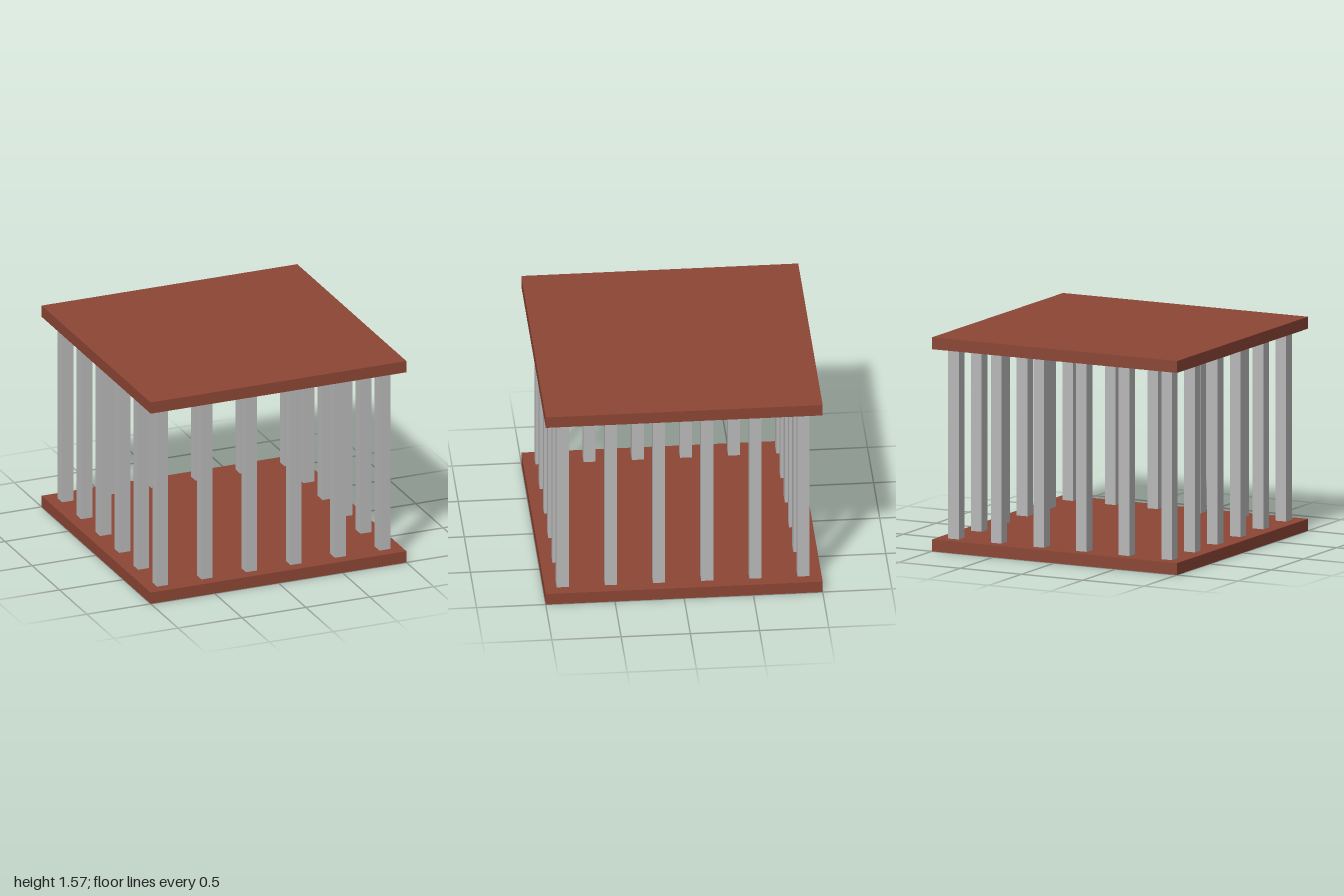
import * as THREE from 'three';

export function createModel() {
  const model = new THREE.Group();
  model.name = 'cage';

  const brown = new THREE.MeshStandardMaterial({ color: 0x8c4635 });
  brown.name = 'red brown';
  const grey = new THREE.MeshStandardMaterial({ color: 0xb9b9b9 });
  grey.name = 'light grey';

  // the whole cage sits on a 23-unit module
  const u = 2 / 23;
  const barHeight = 16 * u;

  // square plates below and above the bars
  const plate = new THREE.BoxGeometry(2, u, 2);
  const addPlate = (name, y) => {
    const mesh = new THREE.Mesh(plate, brown);
    mesh.name = name;
    mesh.position.y = y;
    model.add(mesh);
  };
  addPlate('floor', u / 2);
  addPlate('roof', u * 1.5 + barHeight);

  // square bars around the edge, six to a side
  const bars = new THREE.Group();
  bars.name = 'bars';
  const barGeometry = new THREE.BoxGeometry(u, barHeight, u);
  const last = 5;
  for (let i = 0; i <= last; i++) {
    for (let j = 0; j <= last; j++) {
      const onEdge = i === 0 || i === last || j === 0 || j === last;
      if (!onEdge) continue;
      const bar = new THREE.Mesh(barGeometry, grey);
      bar.name = 'bar';
      bar.position.set((4 * i - 10) * u, u + barHeight / 2, (4 * j - 10) * u);
      bars.add(bar);
    }
  }
  model.add(bars);

  return model;
}
